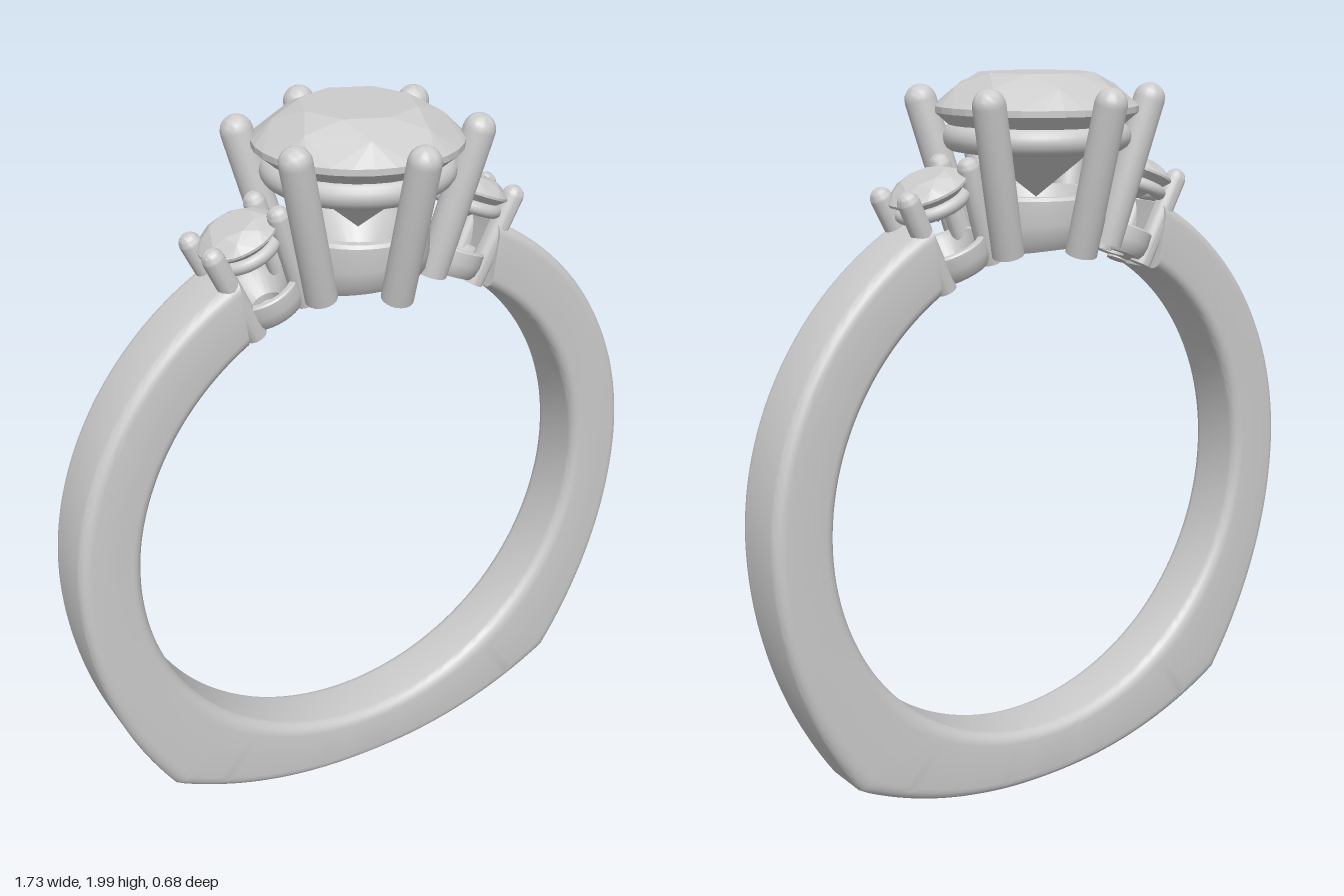
import * as THREE from 'three';
import { toCreasedNormals } from 'three/addons/utils/BufferGeometryUtils.js';
import { ConvexGeometry } from 'three/addons/geometries/ConvexGeometry.js';

const CENTER_Y = 0.865, INNER = 0.695, OUTER = 0.865, HALF_WIDTH = 0.092;
const RAD = Math.PI / 180;
const material = new THREE.MeshStandardMaterial({ color: 0xcccccc });

function add(parent, name, geometry) {
  const mesh = new THREE.Mesh(geometry, material);
  mesh.name = name;
  parent.add(mesh);
  return mesh;
}

// Outer radius of the band at an angle in degrees: round above, two soft corners below
function outerRadius(angle) {
  const below = Math.asin(-Math.sin(angle * RAD)) / RAD;
  if (below <= 0) return OUTER;
  if (below < 47.6) return OUTER + 0.084 * (below / 47.6) ** 2.2;
  return OUTER - 0.005 + 0.089 * ((90 - below) / 42.4) ** 1.8;
}

// Rounded cross-section swept round the finger, open at the top for the stones
function bandGeometry() {
  const profile = [];
  const round = 0.03, thickness = OUTER - INNER;
  [[1, -1], [1, 1], [-1, 1], [-1, -1]].forEach(([sx, sz], corner) => {
    for (let k = 0; k <= 5; k++) {
      const a = (corner - 1 + k / 5) * Math.PI / 2;
      profile.push([
        0.5 + (sx * (thickness / 2 - round) + round * Math.cos(a)) / thickness,
        sz * (HALF_WIDTH - round) + round * Math.sin(a),
      ]);
    }
  });
  const steps = 180, n = profile.length, positions = [], index = [];
  for (let i = 0; i <= steps; i++) {
    for (const [t, z] of profile) {
      const start = 58.5 + 5 * t;
      const angle = start - (i / steps) * (180 + 2 * start);
      const r = INNER + t * (outerRadius(angle) - INNER);
      positions.push(r * Math.cos(angle * RAD), r * Math.sin(angle * RAD), z);
    }
  }
  for (let i = 0; i < steps; i++) {
    for (let j = 0; j < n; j++) {
      const a = i * n + j, b = i * n + (j + 1) % n;
      index.push(a, b, a + n, b, b + n, a + n);
    }
  }
  const last = steps * n;
  for (let j = 1; j < n - 1; j++) {
    index.push(0, j + 1, j, last, last + j, last + j + 1);
  }
  const geometry = new THREE.BufferGeometry();
  geometry.setAttribute('position', new THREE.Float32BufferAttribute(positions, 3));
  geometry.setIndex(index);
  return toCreasedNormals(geometry, 0.45);
}

// Round brilliant cut of unit radius, girdle at y = 0
function gemGeometry(radius) {
  const points = [new THREE.Vector3(0, -0.84, 0)];
  const ring = (count, r, y, offset = 0) => {
    for (let i = 0; i < count; i++) {
      const a = (i + offset) / count * Math.PI * 2;
      points.push(new THREE.Vector3(r * Math.cos(a), y, r * Math.sin(a)));
    }
  };
  ring(8, 0.56, 0.36);
  ring(8, 0.8, 0.24, 0.5);
  ring(32, 1, 0.05);
  ring(32, 1, -0.01);
  ring(8, 0.28, -0.62, 0.5);
  return new ConvexGeometry(points).scale(radius, radius, radius);
}

// Hollow cup whose underside follows the finger hole
function cupGeometry(r, height) {
  const profile = [
    [0.42, 0], [0.85, 0], [0.95, 0.2], [1, 0.5], [1, 0.94], [0.96, 1],
    [0.84, 1], [0.78, 0.85], [0.42, 0.25], [0.42, 0],
  ].map(([x, y]) => new THREE.Vector2(x * r, INNER + y * height));
  const geometry = new THREE.LatheGeometry(profile, 48);
  const p = geometry.attributes.position;
  for (let i = 0; i < p.count; i++) {
    const x = p.getX(i), weight = 1 - (p.getY(i) - INNER) / height;
    const drop = INNER - Math.sqrt(INNER * INNER - x * x);
    p.setY(i, p.getY(i) - drop * weight);
  }
  return toCreasedNormals(geometry, 0.6);
}

// Round-tipped claw from one point to another
function addProng(parent, from, to, radius) {
  const length = from.distanceTo(to);
  const profile = [new THREE.Vector2(0, 0), new THREE.Vector2(radius, 0)];
  for (let i = 0; i <= 6; i++) {
    const a = i / 6 * Math.PI / 2;
    profile.push(new THREE.Vector2(
      Math.max(0, radius * Math.cos(a)), length - radius + radius * Math.sin(a)));
  }
  const prong = add(parent, 'prong',
    toCreasedNormals(new THREE.LatheGeometry(profile, 20), 0.6));
  prong.position.copy(from);
  prong.quaternion.setFromUnitVectors(
    new THREE.Vector3(0, 1, 0), to.clone().sub(from).normalize());
}

// One stone setting; its local y axis points outward from the finger hole
function buildSetting(name, tilt, s) {
  const setting = new THREE.Group();
  setting.name = name;
  setting.position.y = CENTER_Y;
  setting.rotation.z = -tilt * RAD;

  add(setting, 'gem', gemGeometry(s.gemRadius)).position.y = s.girdle;
  add(setting, 'cup', cupGeometry(s.cupRadius, s.cupHeight));
  const gallery = add(setting, 'galleryRing',
    new THREE.TorusGeometry(s.ringRadius, s.ringTube, 16, 56).rotateX(Math.PI / 2));
  gallery.position.y = s.ringHeight;

  for (const angle of s.prongAngles) {
    const at = (r, y) => new THREE.Vector3(
      r * Math.cos(angle * RAD), y, r * Math.sin(angle * RAD));
    addProng(setting, at(s.prongFoot, s.footHeight), at(s.prongTip, s.tipHeight), s.prongRadius);
  }
  return setting;
}

export function createModel() {
  const model = new THREE.Group();
  model.name = 'ring';

  add(model, 'band', bandGeometry()).position.y = CENTER_Y;

  // Large middle stone with six claws
  model.add(buildSetting('centerSetting', 0, {
    gemRadius: 0.268, girdle: 1.038, cupRadius: 0.185, cupHeight: 0.135,
    ringRadius: 0.214, ringTube: 0.036, ringHeight: 0.972,
    prongAngles: [30, 90, 150, 210, 270, 330],
    prongFoot: 0.19, prongTip: 0.312, footHeight: 0.685, tipHeight: 1.105, prongRadius: 0.042,
  }));

  // Small flanking stones with four claws each
  const small = {
    gemRadius: 0.106, girdle: 0.922, cupRadius: 0.1, cupHeight: 0.075,
    ringRadius: 0.084, ringTube: 0.018, ringHeight: 0.885,
    prongAngles: [33, 147, 213, 327],
    prongFoot: 0.092, prongTip: 0.118, footHeight: 0.685, tipHeight: 0.968, prongRadius: 0.029,
  };
  model.add(buildSetting('leftSetting', 22, small));
  model.add(buildSetting('rightSetting', -22, small));
  return model;
}
